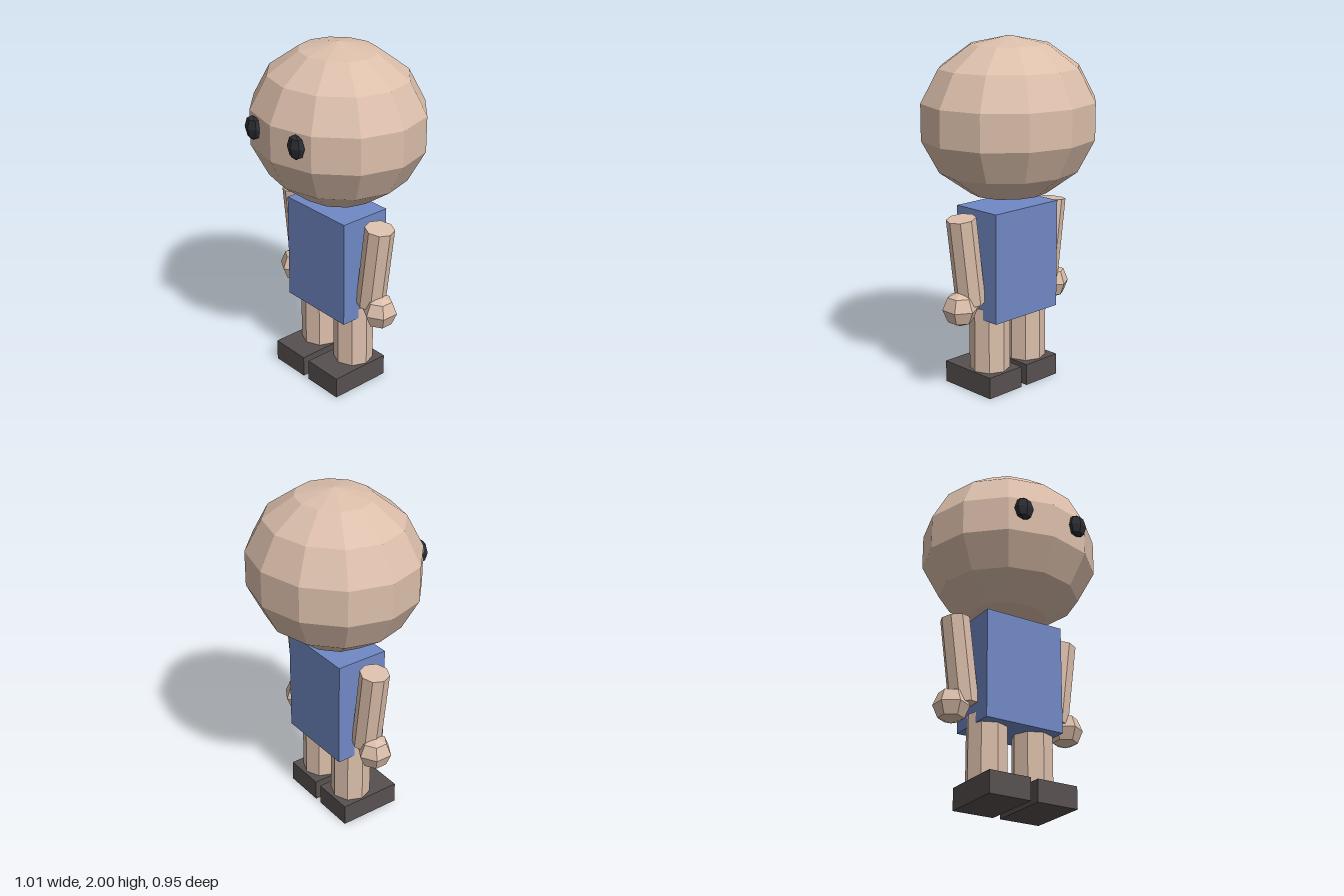
import * as THREE from 'three';

const mat = (color) => new THREE.MeshStandardMaterial({ color, flatShading: true });

export function createModel() {
  const group = new THREE.Group();
  const skin = mat(0xdcbfab), shirt = mat(0x7088c4), shoe = mat(0x575050), dark = mat(0x2c2e33);

  const add = (name, geometry, material, x, y, z) => {
    const mesh = new THREE.Mesh(geometry, material);
    mesh.name = name;
    mesh.position.set(x, y, z);
    group.add(mesh);
    return mesh;
  };

  // Faceted ball, slightly wider than deep
  add('head', new THREE.SphereGeometry(1, 12, 7), skin, 0, 1.545, -0.007).scale.set(0.52, 0.455, 0.48);

  // Box torso
  add('torso', new THREE.BoxGeometry(0.48, 0.625, 0.312), shirt, 0, 0.7525, 0.007);

  // Six-sided ball with a corner facing forward, for eyes and hands
  const ball = new THREE.SphereGeometry(1, 6, 4).rotateY(Math.PI / 6);
  const armShape = new THREE.CylinderGeometry(0.083, 0.083, 0.496, 8);
  const legShape = new THREE.CylinderGeometry(0.115, 0.115, 0.497, 8);
  const footShape = new THREE.BoxGeometry(0.247, 0.125, 0.37);

  for (const [side, s] of [['left', 1], ['right', -1]]) {
    add(side + 'Eye', ball, dark, s * 0.177, 1.576, 0.435).scale.set(0.058, 0.07, 0.036);
    // Arms lean outward at the shoulder
    add(side + 'Arm', armShape, skin, s * 0.321, 0.791, 0.005).rotation.z = -s * 0.13;
    add(side + 'Hand', ball, skin, s * 0.365, 0.525, 0.006).scale.setScalar(0.1);
    add(side + 'Leg', legShape, skin, s * 0.144, 0.2515, 0.005);
    add(side + 'Foot', footShape, shoe, s * 0.145, 0.0625, 0.058);
  }
  return group;
}
